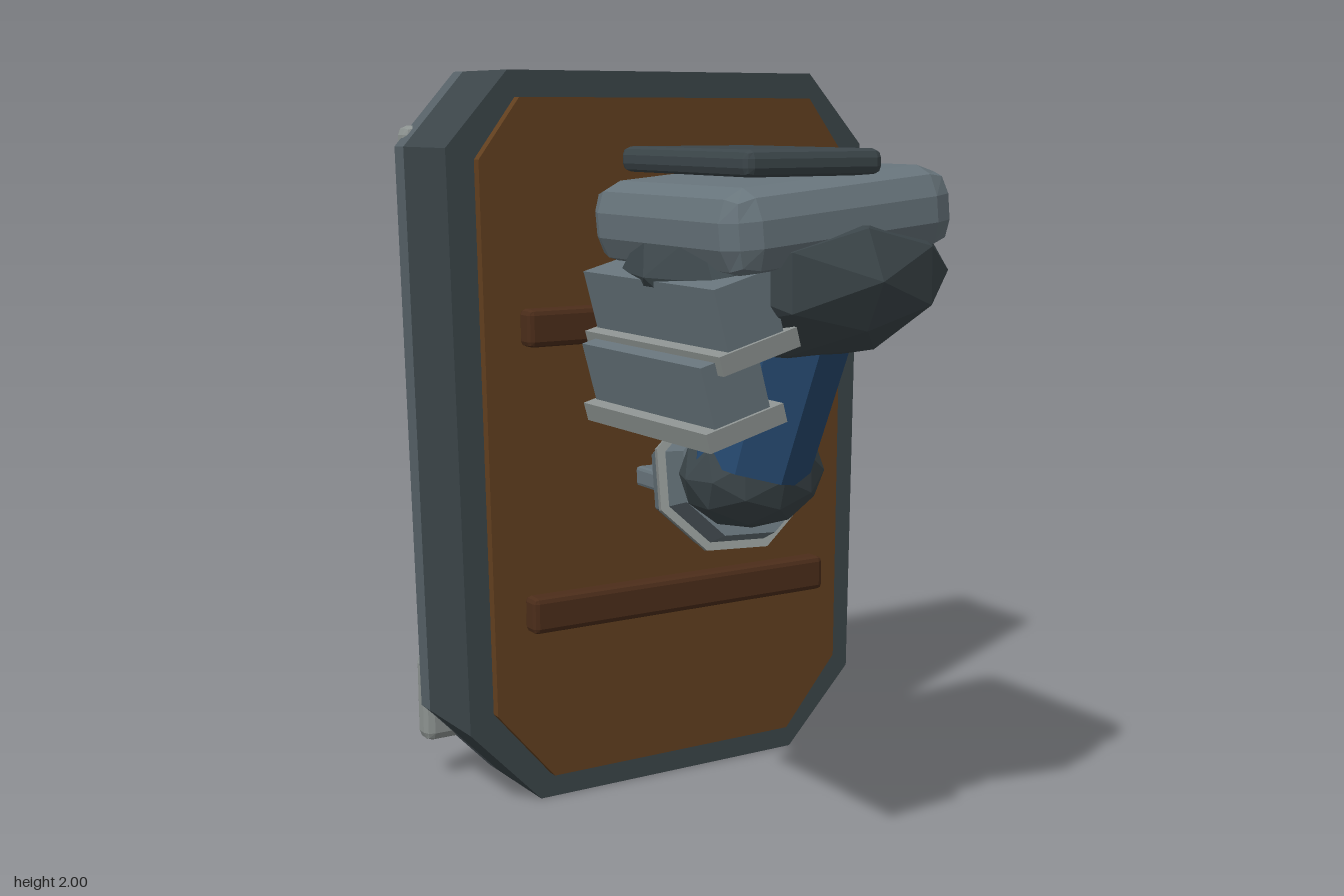
import * as THREE from 'three';
import { RoundedBoxGeometry } from 'three/addons/geometries/RoundedBoxGeometry.js';

const mat = (color) => new THREE.MeshStandardMaterial({ color, flatShading: true });
const M = {
  iron: mat(0x3c464a), darkIron: mat(0x30363a), frame: mat(0x566167), steel: mat(0x67747b),
  silver: mat(0x8c9290), blue: mat(0x25486e), wood: mat(0x63401f), darkWood: mat(0x4c2d1a), gold: mat(0xb97c2c),
};

export function createModel() {
  const root = new THREE.Group();
  root.name = 'shieldAndArm';
  const shield = new THREE.Group();
  shield.name = 'shield';
  const arm = new THREE.Group();
  arm.name = 'arm';
  root.add(shield, arm);

  const add = (group, name, geometry, material, x = 0, y = 0, z = 0) => {
    const mesh = new THREE.Mesh(geometry, material);
    mesh.name = name;
    mesh.position.set(x, y, z);
    group.add(mesh);
    return mesh;
  };
  // Box with chamfered edges
  const slab = (group, name, [w, h, d], chamfer, material, x, y, z) =>
    add(group, name, new RoundedBoxGeometry(w, h, d, 1, chamfer), material, x, y, z);
  // Faceted ball stretched to the given radii
  const ball = (group, name, [rx, ry, rz], material, x, y, z) =>
    add(group, name, new THREE.IcosahedronGeometry(1, 1).scale(rx, ry, rz), material, x, y, z);
  // Straight sided limb between two points
  const limb = (name, a, b, ra, rb, sides, material) => {
    const dir = new THREE.Vector3().subVectors(b, a);
    const mesh = add(arm, name, new THREE.CylinderGeometry(rb, ra, dir.length(), sides), material);
    mesh.position.addVectors(a, b).multiplyScalar(0.5);
    mesh.quaternion.setFromUnitVectors(new THREE.Vector3(0, 1, 0), dir.normalize());
    return mesh;
  };

  // Eight-cornered outline, slightly wider at the top
  const outline = (topX, top, sideX, shoulder, lowX, hip, botX, bottom) => {
    const right = [[botX, bottom], [lowX, hip], [sideX, shoulder], [topX, top]];
    const left = right.map(([x, y]) => [-x, y]).reverse();
    return [...right, ...left].map(([x, y]) => new THREE.Vector2(x, y));
  };
  const outer = outline(0.48, 2, 0.66, 1.8, 0.63, 0.22, 0.42, 0);
  const inner = outline(0.43, 1.88, 0.54, 1.75, 0.52, 0.27, 0.38, 0.12);
  const lining = outline(0.46, 1.93, 0.58, 1.77, 0.56, 0.27, 0.39, 0.07);
  const plate = (name, points, z0, z1, material, hole) => {
    const shape = new THREE.Shape(points);
    if (hole) shape.holes.push(new THREE.Path(hole));
    const geometry = new THREE.ExtrudeGeometry(shape, { depth: z1 - z0, bevelEnabled: false });
    add(shield, name, geometry, material, 0, 0, z0);
  };

  // Shield layers
  plate('shieldBody', outer, -0.62, -0.35, M.iron);
  plate('shieldFrame', outer, -0.68, -0.62, M.frame, inner);
  plate('bluePanel', inner, -0.67, -0.62, M.blue);
  plate('woodLining', lining, -0.35, -0.322, M.wood);
  for (const y of [1.33, 0.55]) slab(shield, 'woodBatten', [0.95, 0.1, 0.065], 0.015, M.darkWood, 0, y, -0.29);

  // Cross and boss on the outer face
  slab(shield, 'spineBacking', [0.21, 1.75, 0.07], 0.015, M.darkIron, 0, 0.985, -0.69);
  slab(shield, 'crossbar', [1.04, 0.1, 0.08], 0.02, M.frame, 0, 1.34, -0.7);
  slab(shield, 'spine', [0.08, 1.55, 0.07], 0.02, M.silver, 0, 0.985, -0.73);
  ball(shield, 'boss', [0.16, 0.15, 0.075], M.silver, 0, 1.34, -0.75);
  add(shield, 'bossStud', new THREE.CylinderGeometry(0.055, 0.04, 0.05, 6).rotateX(Math.PI / 2),
    M.gold, 0, 1.34, -0.82);

  // Corner plates with bolts
  for (const side of [-1, 1]) {
    for (const [y, x] of [[1.73, 0.54], [0.24, 0.53]]) {
      slab(shield, 'cornerPlate', [0.2, 0.25, 0.08], 0.025, M.silver, side * x, y, -0.685);
      add(shield, 'cornerBolt', new THREE.CylinderGeometry(0.032, 0.026, 0.04, 6).rotateX(Math.PI / 2),
        M.darkIron, side * 0.53, y < 1 ? 0.28 : 1.72, -0.735);
    }
  }

  // Shoulder
  ball(arm, 'shoulder', [0.39, 0.22, 0.39], M.iron, -0.15, 1.52, 0.45);
  slab(arm, 'pauldron', [0.62, 0.2, 0.68], 0.07, M.steel, -0.185, 1.65, 0.43).rotation.z = 0.09;
  slab(arm, 'pauldronCap', [0.37, 0.06, 0.56], 0.02, M.iron, -0.255, 1.78, 0.45);
  ball(arm, 'pauldronStud', [0.035, 0.025, 0.025], M.gold, -0.25, 1.61, 0.09);

  // Hanging side plates, each with a lip along its lower edge
  [[-0.435, 1.45, 0.44, 0.61], [-0.46, 1.28, 0.45, 0.56]].forEach(([x, y, z, depth]) => {
    const lame = new THREE.Group();
    lame.name = 'hangingPlate';
    lame.position.set(x, y, z);
    lame.rotation.z = 0.26;
    add(lame, 'plate', new THREE.BoxGeometry(0.15, 0.17, depth - 0.02), M.steel);
    add(lame, 'plateLip', new THREE.BoxGeometry(0.21, 0.045, depth), M.silver, 0, -0.08, 0);
    arm.add(lame);
  });

  // Upper arm, elbow and hand
  const elbow = new THREE.Vector3(-0.21, 1.03, 0.4);
  const hand = new THREE.Vector3(0, 0.9, -0.15);
  limb('upperArm', new THREE.Vector3(-0.23, 1.04, 0.41), new THREE.Vector3(-0.14, 1.42, 0.45), 0.15, 0.17, 8, M.blue);
  ball(arm, 'elbow', [0.19, 0.14, 0.145], M.iron, ...elbow);
  ball(arm, 'hand', [0.14, 0.14, 0.14], M.iron, ...hand);

  // Forearm armour: [name, start, end, start radius, end radius] along elbow to hand
  const at = (t) => new THREE.Vector3().lerpVectors(elbow, hand, t);
  [
    ['forearm', 0.12, 0.44, 0.165, 0.185, M.steel],
    ['forearmBand', 0.4, 0.46, 0.205, 0.205, M.silver],
    ['cuff', 0.46, 0.74, 0.2, 0.185, M.steel],
    ['wristBand', 0.72, 0.78, 0.175, 0.165, M.silver],
    ['wrist', 0.78, 0.9, 0.145, 0.13, M.steel],
  ].forEach(([name, t0, t1, r0, r1, material]) => limb(name, at(t0), at(t1), r0, r1, 8, material));
  slab(arm, 'gripBar', [0.33, 0.055, 0.13], 0.01, M.steel, 0, 0.91, -0.185);
  slab(arm, 'wristPlate', [0.05, 0.1, 0.1], 0.01, M.silver, 0.12, 0.93, 0);

  return root;
}
